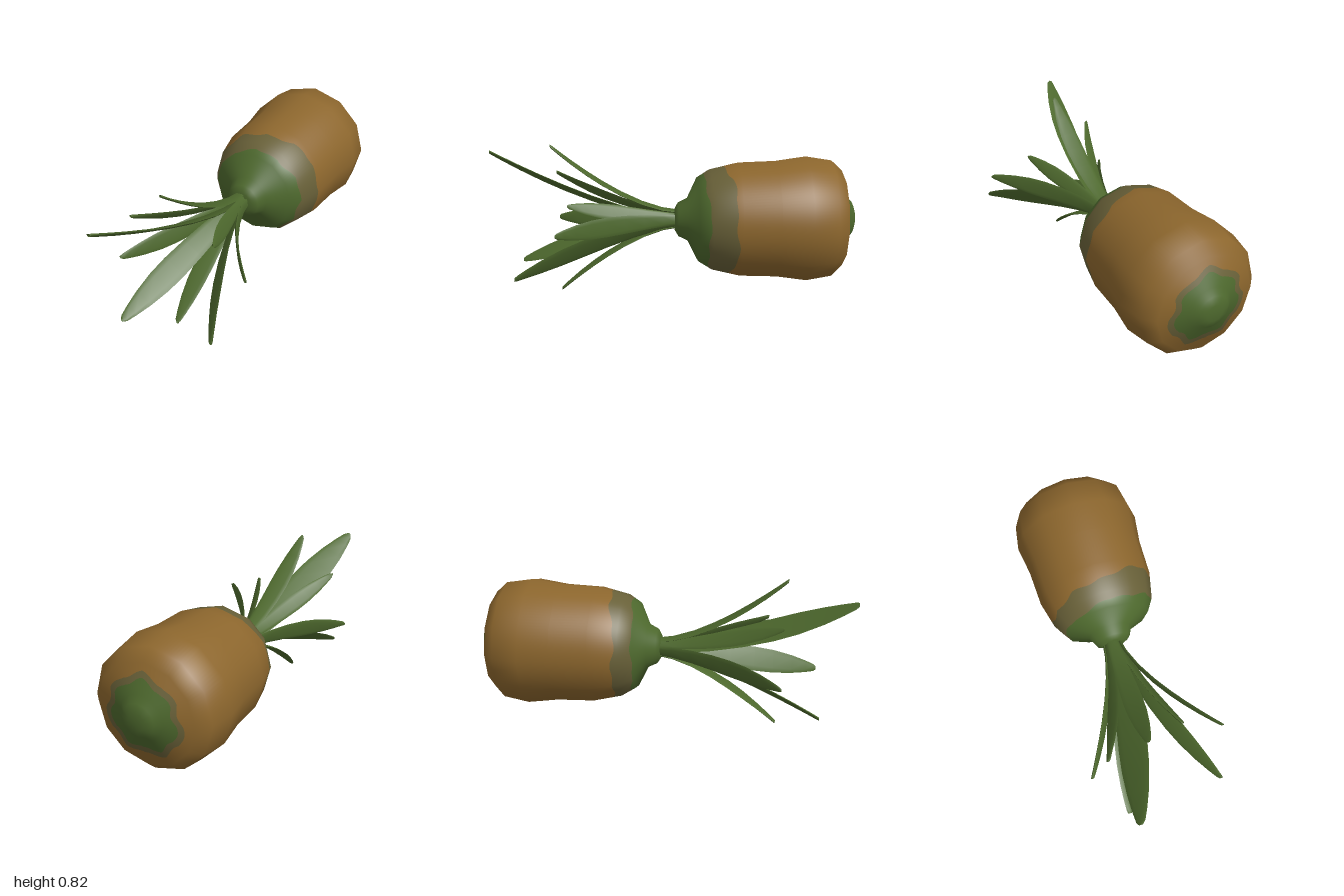
import * as THREE from 'three';

const CX = -0.03, CY = 0.399, SIDES = 12, COLUMNS = 120;

// Body profile from the leafy front to the blunt rear: [radius, z]
const PROFILE = [
  [0, -0.015], [0.06, -0.015], [0.095, -0.035], [0.12, -0.085], [0.235, -0.14],
  [0.28, -0.21], [0.316, -0.36], [0.323, -0.56], [0.346, -0.72], [0.323, -0.86],
  [0.267, -0.92], [0.12, -0.955], [0.088, -0.985], [0.045, -1.0], [0, -1.0],
];
const LAST = PROFILE.length - 1;

// Smooth profile normals, averaged between neighbouring segments
const NORMALS = PROFILE.map((p, i) => {
  const n = new THREE.Vector2();
  for (const k of [i - 1, i]) {
    if (k < 0 || k >= LAST) continue;
    const a = PROFILE[k], b = PROFILE[k + 1];
    n.add(new THREE.Vector2(a[1] - b[1], b[0] - a[0]).normalize());
  }
  return n.normalize();
});

// Point and normal at profile position s and angle a, on a twelve-sided section
function bodyPoint(s, a) {
  const i = Math.min(Math.floor(s), LAST - 1), f = s - i;
  const lerp = THREE.MathUtils.lerp;
  const step = (Math.PI * 2) / SIDES;
  const local = (a % step) - step / 2;
  const r = lerp(PROFILE[i][0], PROFILE[i + 1][0], f) * Math.cos(step / 2) / Math.cos(local);
  const z = lerp(PROFILE[i][1], PROFILE[i + 1][1], f);
  const n = NORMALS[i].clone().lerp(NORMALS[i + 1], f).normalize();
  const c = Math.cos(a), d = Math.sin(a);
  return { p: [CX + r * c, CY + r * d, z], n: [n.x * c, n.x * d, n.y] };
}

// Band of the body skin between two wavy borders, given as functions of angle
function bodyBand(name, from, to, material) {
  const pos = [], nor = [], index = [];
  const rows = LAST + 3;
  for (let j = 0; j <= COLUMNS; j++) {
    const a = (j / COLUMNS) * Math.PI * 2;
    const s0 = from(a), s1 = to(a);
    for (let k = 0; k < rows; k++) {
      const s = THREE.MathUtils.clamp(k - 1, s0, s1);
      const q = bodyPoint(s, a);
      pos.push(...q.p);
      nor.push(...q.n);
      if (j < COLUMNS && k < rows - 1) {
        const v = j * rows + k;
        index.push(v, v + 1, v + rows + 1, v, v + rows + 1, v + rows);
      }
    }
  }
  const g = new THREE.BufferGeometry();
  g.setAttribute('position', new THREE.Float32BufferAttribute(pos, 3));
  g.setAttribute('normal', new THREE.Float32BufferAttribute(nor, 3));
  g.setIndex(index);
  const mesh = new THREE.Mesh(g, material);
  mesh.name = name;
  return mesh;
}

// Blade widths along a leaf: [fraction of length, fraction of full width]
const BLADE = [
  [0, 0.5], [0.12, 0.62], [0.28, 0.78], [0.45, 0.93], [0.6, 1], [0.72, 0.95],
  [0.84, 0.75], [0.93, 0.5], [0.985, 0.3], [1, 0.14],
];

// Lens-shaped leaf that bends outward from the crown to its tip
function leaf(tip, width, bend, start, material) {
  const dir = new THREE.Vector2(tip[0] + 0.04, tip[1] - 0.4);
  const reach = dir.length();
  dir.normalize();
  const pos = [], index = [];
  // Outer face, then inner face
  for (const bulge of [0.008, -0.007]) {
    const first = pos.length / 3;
    BLADE.forEach(([t, w], i) => {
      const out = start + (reach - start) * Math.pow(t, bend);
      const z = -0.03 + (tip[2] + 0.03) * t;
      for (const side of [-1, -0.6, 0.6, 1]) {
        const across = (side * w * width) / 2;
        const o = out + (Math.abs(side) < 1 ? bulge : 0);
        pos.push(-0.04 + dir.x * o - dir.y * across, 0.4 + dir.y * o + dir.x * across, z);
      }
      if (i === BLADE.length - 1) return;
      for (let k = 0; k < 3; k++) {
        const a = first + i * 4 + k, b = a + 1, c = a + 5, d = a + 4;
        if (bulge > 0) index.push(a, b, c, a, c, d);
        else index.push(a, c, b, a, d, c);
      }
    });
  }
  const g = new THREE.BufferGeometry();
  g.setAttribute('position', new THREE.Float32BufferAttribute(pos, 3));
  g.setIndex(index);
  g.computeVertexNormals();
  const mesh = new THREE.Mesh(g, material);
  mesh.name = 'leaf';
  return mesh;
}

export function createModel() {
  const mat = (name, color, side = THREE.FrontSide) => {
    const m = new THREE.MeshStandardMaterial({ color, side });
    m.name = name;
    return m;
  };
  const brown = mat('brown skin', 0x8c662d);
  const olive = mat('olive skin', 0x686038);
  const green = mat('green', 0x4d682d, THREE.DoubleSide);

  const model = new THREE.Group();
  model.name = 'rootVegetable';

  // Body with wavy colour borders
  const body = new THREE.Group();
  body.name = 'body';
  const ripple = (a) => 0.08 * Math.sin(5 * a) + 0.05 * Math.sin(11 * a + 1);
  const start = () => 0;
  const crownEdge = (a) => 4.4 + 0.4 * Math.cos(a) + ripple(a);
  const shoulderEdge = (a) => 5.5 + 0.36 * Math.cos(a) + 0.7 * ripple(a + 2);
  const rearEdge = (a) => 10.38 + 0.08 * Math.sin(7 * a) + 0.05 * Math.sin(3 * a);
  const tipEdge = (a) => rearEdge(a) + 0.22;
  const end = () => LAST;
  body.add(
    bodyBand('greenCrown', start, crownEdge, green),
    bodyBand('oliveShoulder', crownEdge, shoulderEdge, olive),
    bodyBand('brownBody', shoulderEdge, rearEdge, brown),
    bodyBand('oliveRearRing', rearEdge, tipEdge, olive),
    bodyBand('greenRearTip', tipEdge, end, green),
  );
  model.add(body);

  // Leaves: tip position, width, bend, distance of the base from the axis
  const leaves = new THREE.Group();
  leaves.name = 'leaves';
  const list = [
    [[-0.065, 0.805, 0.65], 0.105, 1.6, 0.04],
    [[-0.215, 0.74, 1.0], 0.165, 1.5, 0.0],
    [[-0.265, 0.61, 0.64], 0.09, 1.55, 0.035],
    [[-0.355, 0.32, 0.64], 0.105, 1.55, 0.04],
    [[-0.21, 0.11, 0.84], 0.14, 1.4, 0.02],
    [[-0.04, 0.0, 0.61], 0.108, 1.6, 0.04],
    [[0.31, 0.19, 0.82], 0.135, 1.45, 0.03],
    [[0.37, 0.44, 0.6], 0.105, 1.55, 0.04],
    [[0.16, 0.535, 0.55], 0.085, 1.4, 0.03],
  ];
  for (const [tip, width, bend, base] of list) leaves.add(leaf(tip, width, bend, base, green));
  model.add(leaves);

  return model;
}
